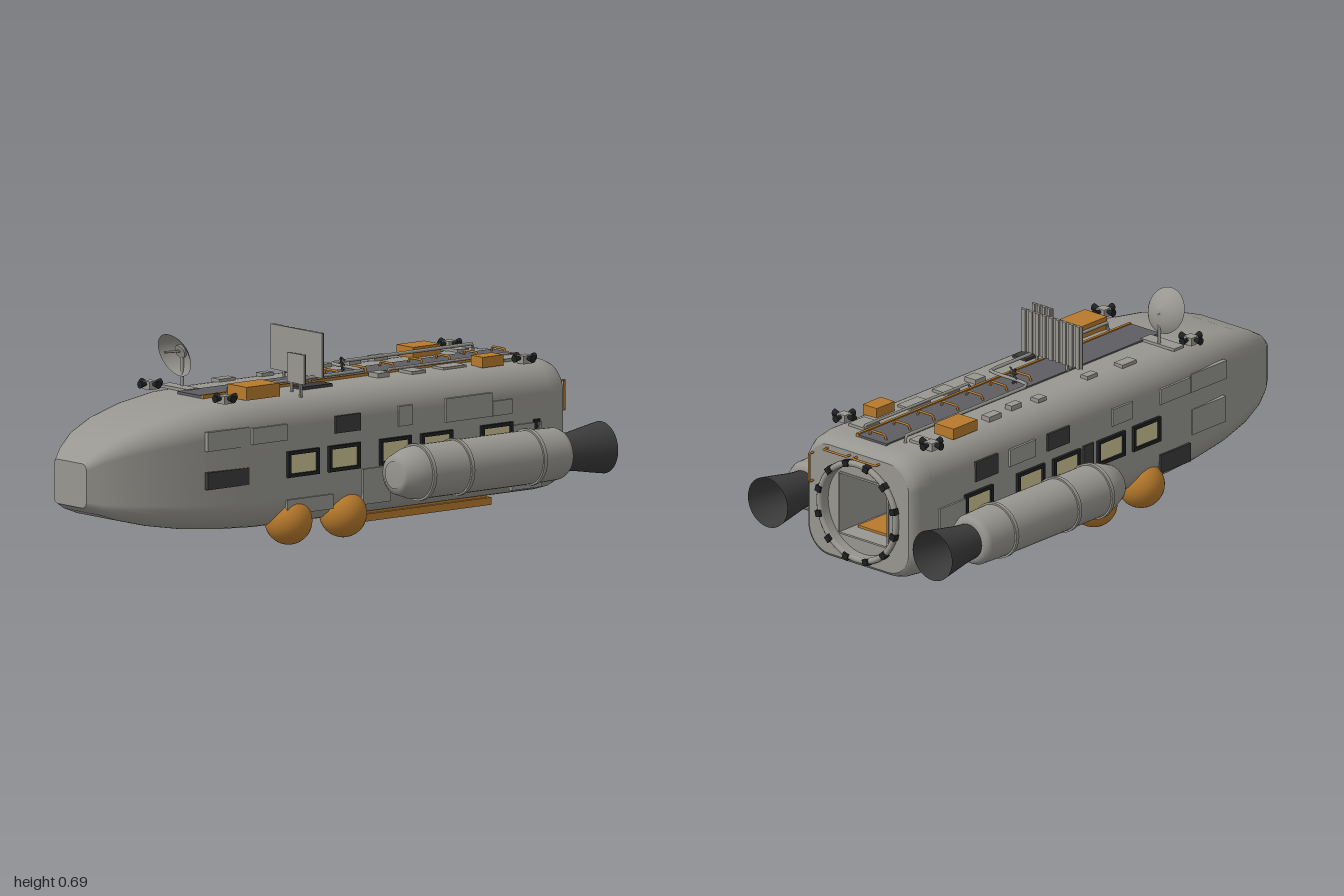
import * as THREE from 'three';

const material = (name, color, side = THREE.FrontSide) => {
  const m = new THREE.MeshStandardMaterial({ color, side });
  m.name = name;
  return m;
};

export function createModel() {
  const hullGray = material('hull gray', 0x979690, THREE.DoubleSide);
  const orange = material('orange', 0xb87a2c);
  const dark = material('dark gray', 0x3b3b3c, THREE.DoubleSide);
  const black = material('black', 0x1f2021);
  const walkway = material('walkway gray', 0x5d5d62);
  const cream = material('window cream', 0xcfc594);

  const model = new THREE.Group();
  model.name = 'spacecraft';
  const group = (name, x = 0, y = 0, z = 0, parent = model) => {
    const g = new THREE.Group();
    g.name = name;
    g.position.set(x, y, z);
    parent.add(g);
    return g;
  };
  const add = (name, geo, mat, x = 0, y = 0, z = 0, parent = model) => {
    const m = new THREE.Mesh(geo, mat);
    m.name = name;
    m.position.set(x, y, z);
    parent.add(m);
    return m;
  };
  const box = (name, mat, w, h, d, x, y, z, parent) =>
    add(name, new THREE.BoxGeometry(w, h, d), mat, x, y, z, parent);
  const V = (p) => new THREE.Vector3(...p);
  // Pipe following straight runs between points
  const pipe = (name, mat, r, pts, parent) => {
    const path = new THREE.CurvePath();
    for (let i = 1; i < pts.length; i++) path.add(new THREE.LineCurve3(V(pts[i - 1]), V(pts[i])));
    return add(name, new THREE.TubeGeometry(path, (pts.length - 1) * 6, r, 8), mat, 0, 0, 0, parent);
  };
  // Lathe whose profile is [radius, z], turned to lie along z
  const turned = (name, mat, profile, x, y, z, parent, n = 32) => {
    const geo = new THREE.LatheGeometry(profile.map(([r, l]) => new THREE.Vector2(r, l)), n);
    return add(name, geo.rotateX(Math.PI / 2), mat, x, y, z, parent);
  };

  // Hull: rounded rectangles [z, half width, bottom, top, corner radius]
  const rows = [
    [1, 0.085, 0.185, 0.335, 0.022], [0.95, 0.122, 0.16, 0.375, 0.037], [0.88, 0.162, 0.135, 0.415, 0.056],
    [0.78, 0.2, 0.11, 0.45, 0.075], [0.65, 0.229, 0.088, 0.48, 0.09], [0.5, 0.245, 0.073, 0.5, 0.097],
    [0.35, 0.25, 0.065, 0.505, 0.1], [0, 0.25, 0.065, 0.505, 0.1], [-0.45, 0.25, 0.065, 0.505, 0.1],
    [-0.87, 0.25, 0.065, 0.505, 0.1], [-0.92, 0.245, 0.068, 0.499, 0.1], [-0.945, 0.235, 0.075, 0.488, 0.095],
    [-0.955, 0.222, 0.086, 0.475, 0.09],
  ];
  const section = ([, w, lo, hi, r]) => {
    const pts = [];
    [[1, 1], [-1, 1], [-1, -1], [1, -1]].forEach(([sx, sy], q) => {
      for (let k = 0; k <= 8; k++) {
        const a = (q + k / 8) * Math.PI / 2;
        pts.push(new THREE.Vector2(sx * (w - r) + r * Math.cos(a), (sy > 0 ? hi - r : lo + r) + r * Math.sin(a)));
      }
    });
    return pts;
  };
  const pos = [], idx = [], n = 36;
  rows.forEach((row, i) => {
    section(row).forEach((p, j) => {
      pos.push(p.x, p.y, row[0]);
      if (!i) return;
      const a = (i - 1) * n + j, b = (i - 1) * n + (j + 1) % n;
      idx.push(a, a + n, b, b, a + n, b + n);
    });
  });
  const hullGeo = new THREE.BufferGeometry();
  hullGeo.setAttribute('position', new THREE.Float32BufferAttribute(pos, 3));
  // Ordered so the outside faces outward
  for (let i = 0; i < idx.length; i += 3) [idx[i + 1], idx[i + 2]] = [idx[i + 2], idx[i + 1]];
  const outward = idx.slice();
  for (let i = 0; i < outward.length; i += 3) [outward[i + 1], outward[i + 2]] = [outward[i + 2], outward[i + 1]];
  hullGeo.setIndex(outward);
  hullGeo.computeVertexNormals();
  add('hull', hullGeo, hullGray);
  add('noseCap', new THREE.ShapeGeometry(new THREE.Shape(section(rows[0]))), hullGray, 0, 0, 1);

  // Rear bulkhead with open docking port
  const portY = 0.27;
  const rear = new THREE.Shape(section(rows[rows.length - 1]));
  rear.holes.push(new THREE.Path().absarc(0, portY, 0.16, 0, Math.PI * 2, true));
  add('rearBulkhead', new THREE.ShapeGeometry(rear, 40).rotateY(Math.PI), hullGray, 0, 0, -0.955);
  const port = group('dockingPort', 0, portY, -0.955);
  const sill = new THREE.Shape().absarc(0, 0, 0.16, 0, Math.PI * 2);
  sill.holes.push(new THREE.Path([[-1, -1], [-1, 1], [1, 1], [1, -1]].map(([x, y]) => new THREE.Vector2(x * 0.105, y * 0.105))));
  add('portSill', new THREE.ShapeGeometry(sill, 40).rotateY(Math.PI), hullGray, 0, 0, 0.025, port);
  add('portRim', new THREE.CylinderGeometry(0.16, 0.16, 0.03, 40, 1, true).rotateX(Math.PI / 2), hullGray, 0, 0, 0.012, port);
  for (let k = 0; k < 4; k++) {
    const wall = group('chamberWall', 0, 0, 0, port);
    wall.rotation.z = k * Math.PI / 2;
    box('wallPanel', hullGray, 0.21, 0.006, 0.3, 0, -0.108, 0.17, wall);
  }
  box('chamberEnd', hullGray, 0.21, 0.21, 0.006, 0, 0, 0.32, port);
  box('chamberFloor', orange, 0.17, 0.008, 0.2, 0, -0.1, 0.19, port);
  box('chamberCeilingPanel', dark, 0.15, 0.008, 0.16, 0, 0.1, 0.2, port);
  add('dockingRing', new THREE.TorusGeometry(0.17, 0.011, 10, 48), hullGray, 0, 0, -0.006, port);
  for (let k = 0; k < 12; k++) {
    const a = (k + 0.5) * Math.PI / 6;
    box('ringClamp', black, 0.022, 0.022, 0.024, 0.172 * Math.cos(a), 0.172 * Math.sin(a), -0.01, port).rotation.z = a;
  }
  for (const [x, y] of [[0.09, 0.462], [-0.04, 0.462]])
    pipe('rearGrabBar', orange, 0.004, [[x - 0.05, y, -0.95], [x - 0.05, y, -0.975], [x + 0.05, y, -0.975], [x + 0.05, y, -0.95]]);
  pipe('rearGrabBar', orange, 0.004, [[0.205, 0.33, -0.95], [0.205, 0.33, -0.975], [0.205, 0.43, -0.975], [0.205, 0.43, -0.95]]);

  for (const s of [1, -1]) {
    const side = s > 0 ? 'left' : 'right';
    // Engine pods, with nozzle, bands and struts
    const pod = group(side + 'Engine', s * 0.368, 0.22, 0);
    turned('engineBody', hullGray, [[0, -0.82], [0.062, -0.82], [0.08, -0.812], [0.088, -0.795], [0.091, -0.68],
      [0.091, -0.2], [0.086, -0.16], [0.066, -0.105], [0.047, -0.105], [0.047, -0.1], [0, -0.1]], 0, 0, 0, pod);
    for (const z of [-0.2, -0.365, -0.68])
      add('engineBand', new THREE.CylinderGeometry(0.097, 0.097, 0.014, 32).rotateX(Math.PI / 2), hullGray, 0, 0, z, pod);
    turned('nozzle', dark, [[0.088, -1], [0.078, -0.94], [0.066, -0.87], [0.06, -0.815]], 0, 0, 0, pod);
    for (const z of [-0.235, -0.585]) for (const y of [0.03, -0.035])
      add('engineStrut', new THREE.CylinderGeometry(0.011, 0.011, 0.09, 12).rotateZ(Math.PI / 2), hullGray, -s * 0.095, y, z, pod);

    // Ball tanks
    for (const z of [0.225, -0.012])
      add(side + 'BallTank', new THREE.SphereGeometry(0.08, 32, 20), orange, s * 0.208, 0.08, z);

    // Windows with raised frames
    for (const z of [0.2, 0.022, -0.2, -0.38, -0.64]) {
      const w = group(side + 'Window', s * 0.25, 0.279, z);
      box('windowGlass', cream, 0.008, 0.07, 0.114, 0, 0, 0, w);
      for (const e of [1, -1]) {
        box('windowFrame', black, 0.022, 0.012, 0.136, 0, e * 0.038, 0, w);
        box('windowFrame', black, 0.022, 0.07, 0.012, 0, 0, e * 0.062, w);
      }
    }
    // Side plates [z, y, length, height, material]
    const common = [[0.52, 0.39, 0.18, 0.065, hullGray], [0.345, 0.39, 0.15, 0.055, hullGray], [-0.77, 0.2, 0.13, 0.22, hullGray]];
    const plates = s > 0
      ? [[0.52, 0.257, 0.18, 0.058, dark], [0.005, 0.392, 0.11, 0.058, dark], [-0.245, 0.392, 0.06, 0.068, hullGray],
        [-0.52, 0.39, 0.2, 0.08, hullGray], [-0.665, 0.375, 0.085, 0.05, hullGray], [0.17, 0.135, 0.2, 0.05, hullGray],
        [-0.12, 0.17, 0.12, 0.12, hullGray], [-0.815, 0.28, 0.025, 0.08, black]]
      : [[-0.6, 0.39, 0.11, 0.07, dark], [-0.24, 0.39, 0.11, 0.06, dark], [0.08, 0.385, 0.1, 0.06, hullGray],
        [0.52, 0.25, 0.17, 0.09, hullGray], [0.345, 0.15, 0.15, 0.065, dark], [-0.09, 0.27, 0.05, 0.11, dark],
        [-0.42, 0.39, 0.13, 0.06, hullGray]];
    for (const [z, y, l, h, mat] of [...common, ...plates])
      box(side + 'SidePlate', mat, 0.016, h, l, s * (z > 0.45 ? 0.242 : 0.249), y, z);

    // Manoeuvring thruster clusters
    for (const z of [0.49, -0.81]) {
      const t = group(side + 'ThrusterCluster', s * 0.195, 0.52, z);
      box('thrusterBlock', hullGray, 0.036, 0.028, 0.036, 0, -0.004, 0, t);
      for (let k = 0; k < 4; k++) {
        const arm = group('thruster', 0, 0, 0, t);
        arm.rotation.y = k * Math.PI / 2;
        add('thrusterBell', new THREE.CylinderGeometry(0.006, 0.013, 0.026, 12).rotateX(-Math.PI / 2), black, 0, 0.001, 0.032, arm);
      }
    }
  }

  // Belly pallet with raised rim
  box('bellyPallet', orange, 0.31, 0.03, 0.53, 0, 0.055, -0.415);
  for (const e of [1, -1]) {
    box('palletRim', orange, 0.33, 0.025, 0.015, 0, 0.045, -0.415 + e * 0.27);
    box('palletRim', orange, 0.015, 0.025, 0.55, e * 0.158, 0.045, -0.415);
  }

  // Roof walkway, orange edge and rungs
  box('walkway', walkway, 0.13, 0.01, 1.37, 0, 0.505, -0.205);
  box('walkwayEdge', orange, 0.01, 0.014, 1.37, 0.066, 0.507, -0.205);
  for (const z of [-0.86, -0.74, -0.62, -0.5, -0.375, -0.255, -0.135])
    pipe('walkwayRung', orange, 0.004, [[-0.038, 0.508, z], [-0.03, 0.525, z], [0.03, 0.525, z], [0.038, 0.508, z]]);

  // Orange roof lockers and small roof fittings [x, z, width, length, height]
  for (const [x, z, w, l, h] of [[0.152, 0.33, 0.1, 0.145, 0.045], [-0.152, -0.64, 0.085, 0.12, 0.038], [0.157, -0.68, 0.062, 0.09, 0.036]])
    box('roofLocker', orange, w, h, l, x, 0.503 + h / 2, z);
  for (const [x, z, w, l, h] of [[0.115, -0.8, 0.07, 0.08, 0.012], [0.115, -0.39, 0.07, 0.06, 0.012], [0.115, -0.55, 0.06, 0.1, 0.01],
    [-0.16, -0.47, 0.035, 0.06, 0.018], [-0.15, -0.35, 0.03, 0.05, 0.018], [-0.165, -0.24, 0.035, 0.04, 0.014], [-0.15, 0.03, 0.03, 0.05, 0.014],
    [-0.16, 0.2, 0.04, 0.07, 0.012], [-0.15, -0.79, 0.1, 0.05, 0.012], [-0.13, 0.42, 0.15, 0.05, 0.01], [0.11, -0.25, 0.05, 0.05, 0.018]])
    box('roofFitting', hullGray, w, h, l, x, 0.503 + h / 2, z);
  box('roofHatch', dark, 0.06, 0.012, 0.13, 0.13, 0.508, 0.06);
  pipe('roofPipe', hullGray, 0.006, [[-0.095, 0.5, -0.83], [-0.095, 0.53, -0.83], [-0.095, 0.53, -0.21], [-0.05, 0.53, -0.2], [0.085, 0.53, -0.2],
    [0.095, 0.53, -0.19], [0.095, 0.53, 0.4], [0.095, 0.5, 0.4]]);
  pipe('roofPipe', hullGray, 0.005, [[0.085, 0.5, -0.84], [0.085, 0.52, -0.84], [0.085, 0.52, -0.3], [0.085, 0.5, -0.3]]);

  // Cross aerial
  const aerial = group('crossAerial', -0.01, 0.53, -0.195);
  pipe('aerialMast', dark, 0.004, [[0, -0.03, 0], [0, 0.03, 0.012]], aerial);
  for (const y of [-0.005, 0.01, 0.025])
    pipe('aerialBar', dark, 0.003, [[-0.03, y, -0.015], [0.03, y, 0.02]], aerial);

  // Upright ribbed panels on posts [x, y, z, width, height, ribs]
  for (const [x, y, z, w, h, ribs] of [[0.004, 0.606, 0.018, 0.27, 0.152, 9], [0.18, 0.585, 0.168, 0.09, 0.1, 4]]) {
    const p = group('ribbedPanel', x, y, z);
    box('panelSheet', hullGray, w, h, 0.006, 0, 0, 0, p);
    for (let k = 0; k < ribs; k++)
      box('panelRib', hullGray, w / ribs * 0.5, h, 0.008, ((k + 0.5) / ribs - 0.5) * w, 0, -0.006, p);
    for (const e of [-0.25, 0.25])
      box('panelPost', hullGray, 0.008, y - h / 2 - 0.49, 0.008, e * w, (0.49 - y - h / 2) / 2, 0, p);
  }

  // Dish antenna, tipped forward
  pipe('dishMast', hullGray, 0.006, [[-0.13, 0.5, 0.405], [-0.13, 0.62, 0.405]]);
  const dish = group('dish', -0.13, 0.63, 0.41);
  dish.rotation.x = 0.36;
  turned('dishBowl', hullGray, [[0.001, -0.005], [0.025, -0.002], [0.05, 0.008], [0.068, 0.02], [0.079, 0.031]], 0, 0, 0, dish);
  add('dishHub', new THREE.CylinderGeometry(0.024, 0.024, 0.008, 20).rotateX(Math.PI / 2), hullGray, 0, 0, 0.002, dish);
  pipe('dishFeed', hullGray, 0.004, [[0, 0, 0], [0, 0.028, 0.065]], dish);
  return model;
}
